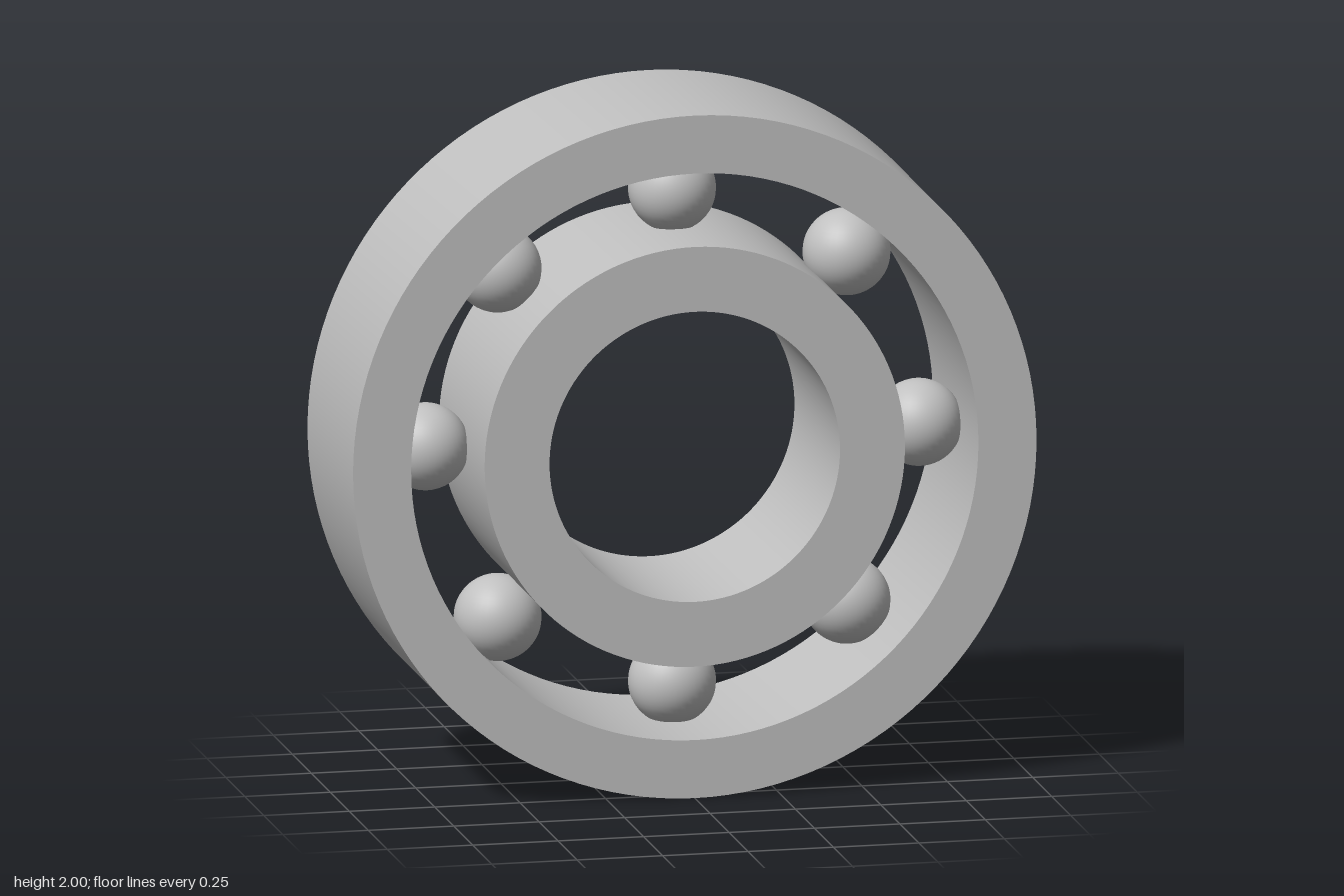
import * as THREE from 'three';
import { toCreasedNormals } from 'three/addons/utils/BufferGeometryUtils.js';

const HALF_WIDTH = 0.3;
const BALL_COUNT = 8;
const BALL_RADIUS = 0.126;
const BALL_ORBIT = 0.722;

// Square-section ring around the z axis
function makeRing(name, inner, outer, material) {
  const h = HALF_WIDTH;
  const profile = [[inner, -h], [outer, -h], [outer, h], [inner, h], [inner, -h]]
    .map(([r, y]) => new THREE.Vector2(r, y));
  const geometry = toCreasedNormals(new THREE.LatheGeometry(profile, 128), 0.6);
  geometry.rotateX(Math.PI / 2);
  const ring = new THREE.Mesh(geometry, material);
  ring.name = name;
  return ring;
}

export function createModel() {
  const steel = new THREE.MeshStandardMaterial({ color: 0xc0c0c0 });
  steel.name = 'steel';

  const bearing = new THREE.Group();
  bearing.name = 'ballBearing';
  bearing.position.y = 1;

  // Outer and inner races
  bearing.add(makeRing('outerRace', 0.83, 1, steel));
  bearing.add(makeRing('innerRace', 0.425, 0.615, steel));

  // Balls seated between the races
  const balls = new THREE.Group();
  balls.name = 'balls';
  const ballGeometry = new THREE.SphereGeometry(BALL_RADIUS, 40, 24);
  for (let i = 0; i < BALL_COUNT; i++) {
    const angle = (i / BALL_COUNT) * Math.PI * 2;
    const ball = new THREE.Mesh(ballGeometry, steel);
    ball.name = `ball${i + 1}`;
    ball.position.set(Math.cos(angle) * BALL_ORBIT, Math.sin(angle) * BALL_ORBIT, 0);
    balls.add(ball);
  }
  bearing.add(balls);

  const model = new THREE.Group();
  model.name = 'model';
  model.add(bearing);
  return model;
}
